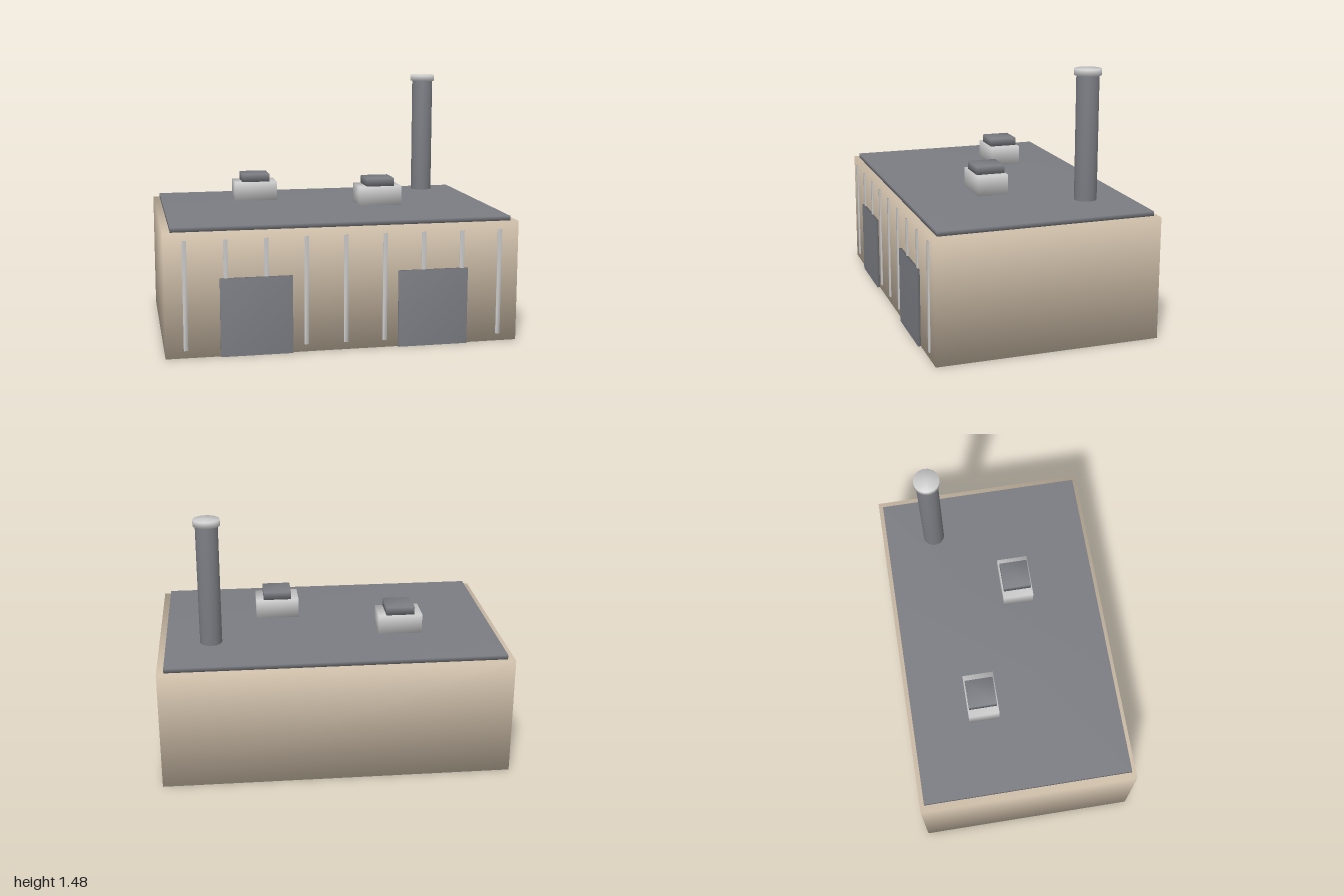
import * as THREE from 'three';
import { mergeVertices } from 'three/addons/utils/BufferGeometryUtils.js';

const wallMat = new THREE.MeshStandardMaterial({ color: 0xcdbda8 });
const darkMat = new THREE.MeshStandardMaterial({ color: 0x7a7c82 });
const greyMat = new THREE.MeshStandardMaterial({ color: 0xcccccc });

// Weld shared corners so that normals run smoothly over the edges
function weld(geometry) {
  geometry.deleteAttribute('normal');
  geometry.deleteAttribute('uv');
  const welded = mergeVertices(geometry);
  welded.computeVertexNormals();
  return welded;
}

function add(parent, name, geometry, material) {
  const mesh = new THREE.Mesh(weld(geometry), material);
  mesh.name = name;
  parent.add(mesh);
  return mesh;
}

// Box given by its minimum and maximum on each axis
function addBox(parent, name, material, [x0, x1], [y0, y1], [z0, z1]) {
  const mesh = add(parent, name, new THREE.BoxGeometry(x1 - x0, y1 - y0, z1 - z0), material);
  mesh.position.set((x0 + x1) / 2, (y0 + y1) / 2, (z0 + z1) / 2);
}

// Upright cylinder between two heights
function addPipe(parent, name, material, radius, y0, y1) {
  const mesh = add(parent, name, new THREE.CylinderGeometry(radius, radius, y1 - y0, 24), material);
  mesh.position.y = (y0 + y1) / 2;
}

export function createModel() {
  const model = new THREE.Group();
  model.name = 'factoryBuilding';
  const front = 0.627;

  // Hall and roof slab
  addBox(model, 'walls', wallMat, [-1, 1], [0, 0.694], [-0.643, front]);
  addBox(model, 'roof', darkMat, [-0.96, 0.96], [0.694, 0.72], [-0.617, 0.602]);

  // Vertical ribs along the front wall
  for (let i = -4; i <= 4; i++) {
    const x = i * 0.2222;
    addBox(model, 'wallRib', greyMat, [x - 0.012, x + 0.012], [0.043, 0.652], [front - 0.01, 0.635]);
  }

  // Two loading doors
  for (const x of [-0.5, 0.5]) {
    addBox(model, 'loadingDoor', darkMat, [x - 0.2, x + 0.2], [0, 0.438], [front - 0.005, 0.643]);
  }

  // Roof vents: a light housing with a dark cap
  for (const [x, z] of [[-0.4, -0.197], [0.298, 0.121]]) {
    const vent = new THREE.Group();
    vent.name = 'roofVent';
    vent.position.set(x, 0, z);
    addBox(vent, 'ventHousing', greyMat, [-0.127, 0.127], [0.737, 0.85], [-0.09, 0.09]);
    addBox(vent, 'ventCap', darkMat, [-0.082, 0.082], [0.85, 0.897], [-0.082, 0.082]);
    model.add(vent);
  }

  // Chimney with a rim at the top
  const chimney = new THREE.Group();
  chimney.name = 'chimney';
  chimney.position.set(0.698, 0, -0.326);
  addPipe(chimney, 'chimneyStack', darkMat, 0.063, 0.748, 1.44);
  addPipe(chimney, 'chimneyRim', greyMat, 0.075, 1.44, 1.475);
  model.add(chimney);

  return model;
}
